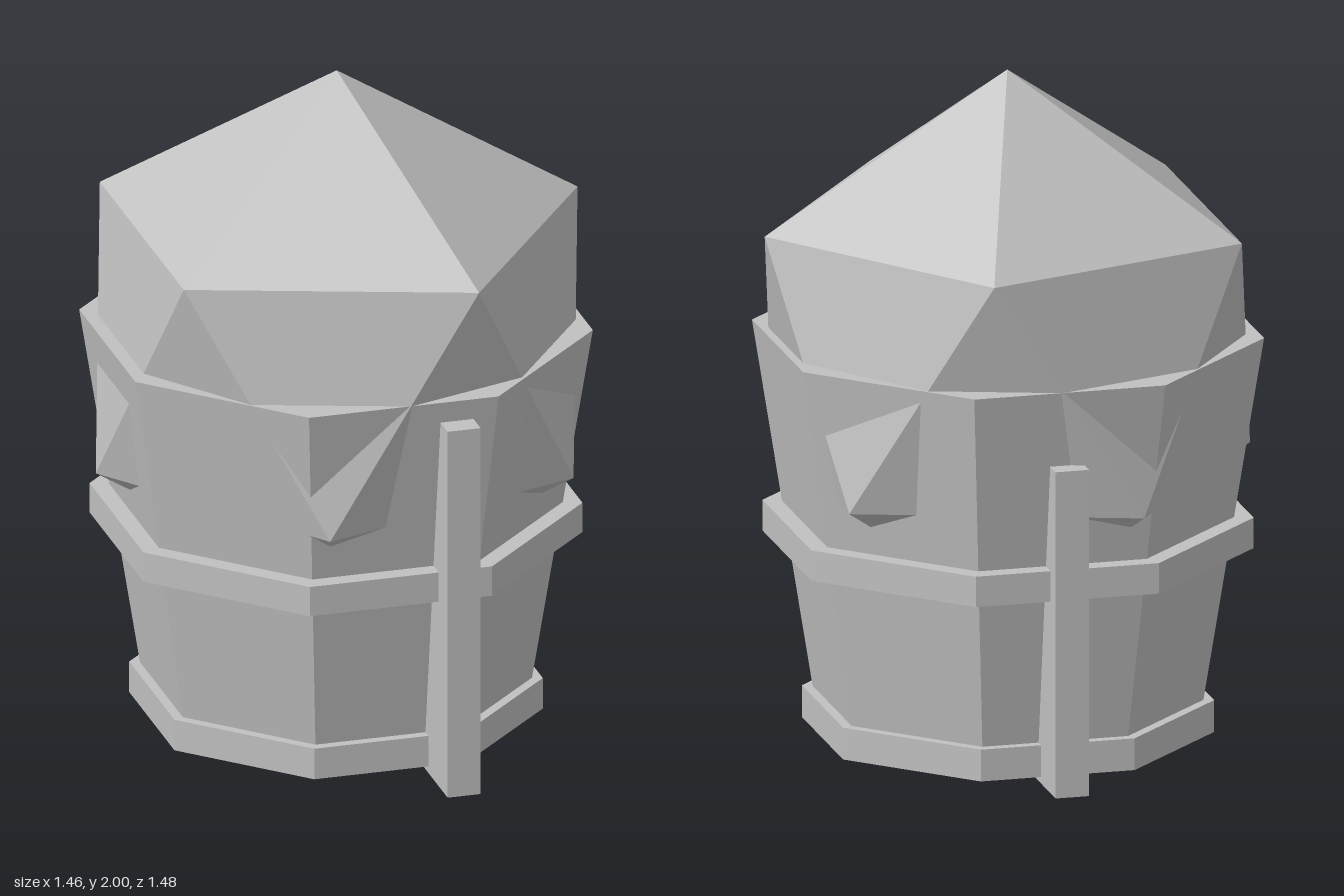
import * as THREE from 'three';

export function createModel() {
  const group = new THREE.Group();
  const grey = new THREE.MeshStandardMaterial({ color: 0xc0c0c0, flatShading: true });
  const CZ = -0.018; // shared axis of tub and gem

  const add = (name, geometry, x, y, z) => {
    const mesh = new THREE.Mesh(geometry, grey);
    mesh.name = name;
    mesh.position.set(x, y, z);
    group.add(mesh);
  };

  // Octagonal frustum with flat sides facing the axes, sized by half-width
  const octagon = (name, top, bottom, y0, y1) => {
    const k = 1 / Math.cos(Math.PI / 8);
    const g = new THREE.CylinderGeometry(top * k, bottom * k, y1 - y0, 8);
    g.rotateY(Math.PI / 8);
    add(name, g, -0.002, (y0 + y1) / 2, CZ);
  };
  octagon('tub', 0.693, 0.515, 0.022, 1.216);
  octagon('middleHoop', 0.665, 0.665, 0.58, 0.672);
  octagon('bottomHoop', 0.558, 0.558, 0.02, 0.116);

  // Icosahedron standing on a vertex, its lower corners poking through the tub
  const radius = 0.816;
  const gem = new THREE.IcosahedronGeometry(radius, 0);
  gem.rotateZ(-Math.atan(2 / (1 + Math.sqrt(5))));
  add('icosahedron', gem, 0, 2 - radius, CZ);

  // Upright posts
  const post = (name, x, height, z) =>
    add(name, new THREE.BoxGeometry(0.1, height, 0.26), x, height / 2, z);
  post('frontPost', 0.162, 1.15, 0.608);
  post('backPost', -0.002, 0.986, -0.608);

  return group;
}
